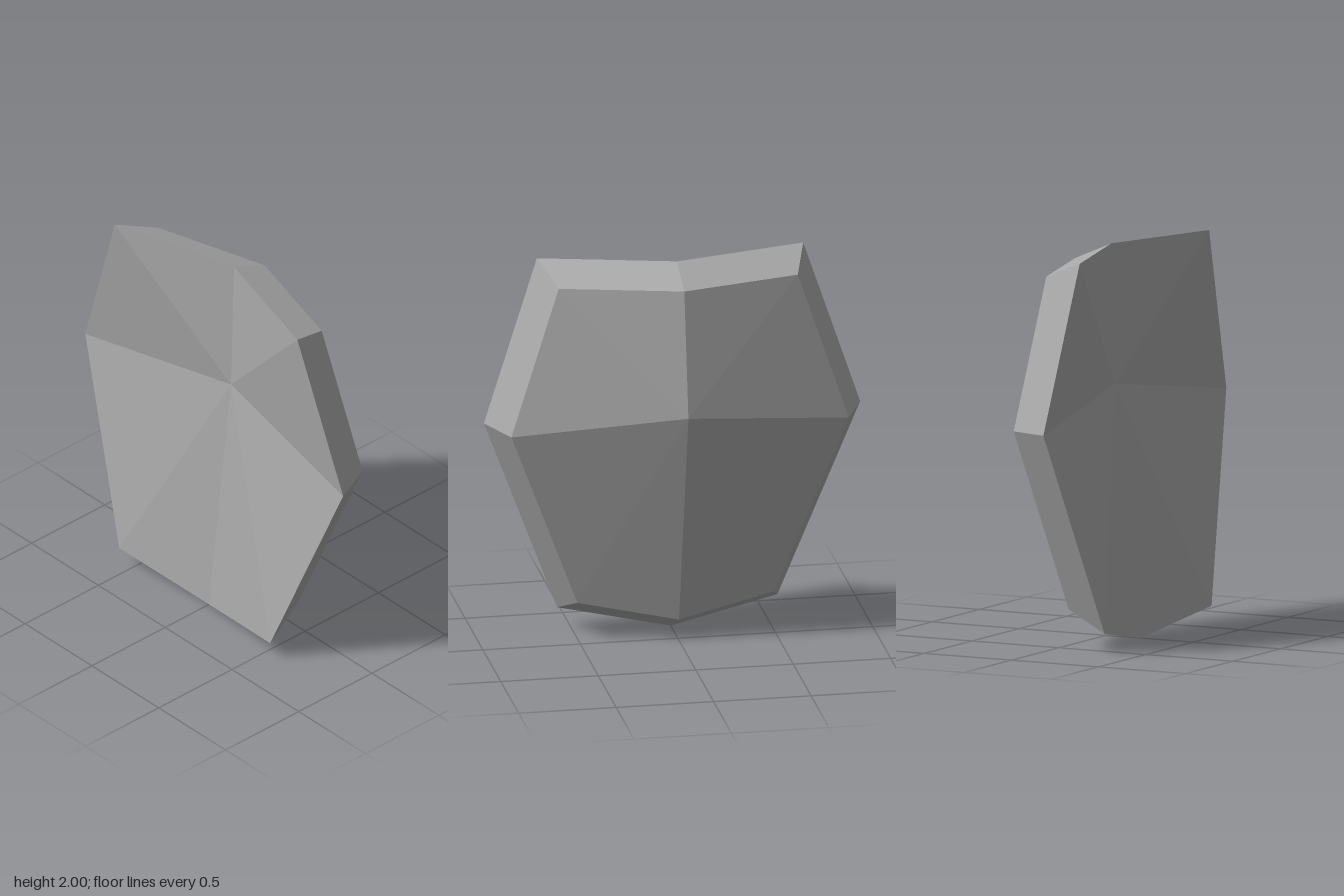
import * as THREE from 'three';

// Full ring from the half at z >= 0, starting at the top middle
function mirrorRing(half) {
  const other = half.slice(1, -1).reverse().map(([x, y, z]) => [x, y, -z]);
  return [...half, ...other];
}

function facetedMesh(name, triangles, material) {
  const geometry = new THREE.BufferGeometry();
  geometry.setAttribute('position', new THREE.Float32BufferAttribute(triangles.flat(2), 3));
  geometry.computeVertexNormals();
  const mesh = new THREE.Mesh(geometry, material);
  mesh.name = name;
  return mesh;
}

export function createModel() {
  const group = new THREE.Group();
  group.name = 'shieldPlate';
  const grey = new THREE.MeshStandardMaterial({ color: 0xa8a8a8, flatShading: true });
  grey.name = 'plain grey';

  // Edge loops: top middle, top corner, side, bottom corner, bottom middle
  const outer = mirrorRing([
    [0.18, 1.91, 0], [0.01, 1.905, 0.613], [0.06, 1.145, 0.865], [-0.06, 0.2, 0.505], [0.03, 0.11, 0],
  ]);
  const inner = mirrorRing([
    [-0.03, 2, 0], [-0.22, 1.995, 0.683], [-0.165, 1.15, 0.965], [-0.298, 0.1, 0.565], [-0.2, 0, 0],
  ]);
  const outerPeak = [0.295, 1.27, 0];
  const innerPeak = [-0.05, 1.285, 0];

  // Fans for the two faces, quads for the bevelled rim between them
  const front = [], back = [], rim = [];
  outer.forEach((a, i) => {
    const j = (i + 1) % outer.length;
    front.push([outerPeak, a, outer[j]]);
    back.push([innerPeak, inner[j], inner[i]]);
    rim.push([a, inner[i], inner[j]], [a, inner[j], outer[j]]);
  });

  group.add(
    facetedMesh('outerFace', front, grey),
    facetedMesh('innerFace', back, grey),
    facetedMesh('bevelledRim', rim, grey),
  );
  return group;
}
